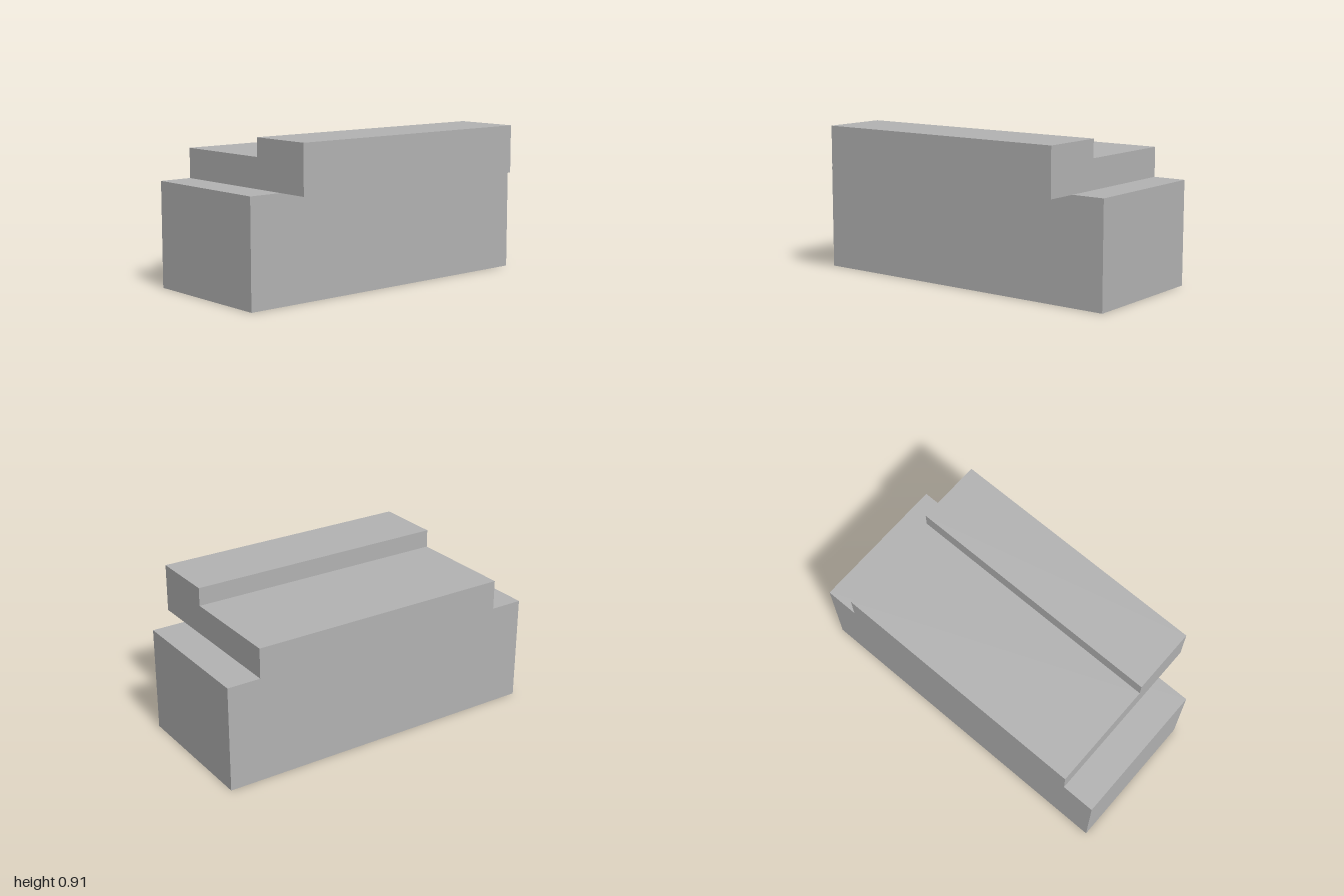
import * as THREE from 'three';

export function createModel() {
  const group = new THREE.Group();
  const grey = new THREE.MeshStandardMaterial({ name: 'grey', color: 0xb2b2b2 });

  const baseHeight = 0.625, back = -0.525, front = 0.525;

  // Wide base block, flush with the upper block at the back
  const baseDepth = 0.85;
  const base = new THREE.Mesh(new THREE.BoxGeometry(2, baseHeight, baseDepth), grey);
  base.name = 'base';
  base.position.set(0, baseHeight / 2, back + baseDepth / 2);
  group.add(base);

  // Stepped upper block: side profile (z, y) swept across the width, overhanging the front
  const profile = new THREE.Shape([
    [back, baseHeight], [front, baseHeight], [front, 0.91],
    [0.125, 0.91], [0.125, 0.802], [back, 0.802],
  ].map(([z, y]) => new THREE.Vector2(z, y)));
  const width = 1.6;
  const geometry = new THREE.ExtrudeGeometry(profile, { depth: width, bevelEnabled: false });
  geometry.translate(0, 0, -width / 2).rotateY(-Math.PI / 2);
  const upper = new THREE.Mesh(geometry, grey);
  upper.name = 'steppedTop';
  group.add(upper);

  return group;
}
